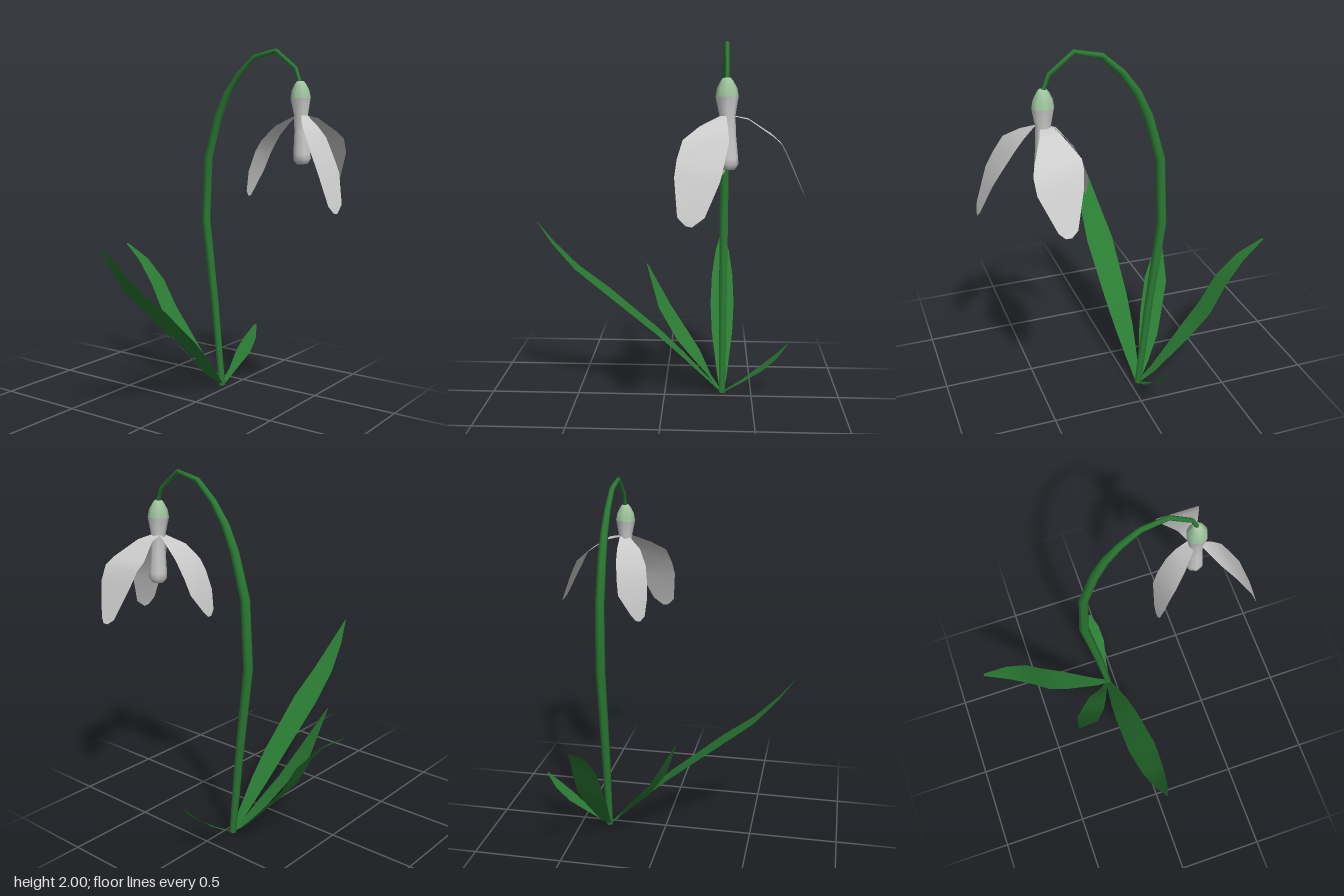
import * as THREE from 'three';

const green = new THREE.MeshStandardMaterial({ color: 0x2a7a33, side: THREE.DoubleSide });
const pale = new THREE.MeshStandardMaterial({ color: 0x9fc49f });
const grey = new THREE.MeshStandardMaterial({ color: 0xcccccc, side: THREE.DoubleSide });

const Z = -0.333; // plane of the stem
const X = -0.045; // foot of the plant

// Thin strip; each row holds its two edge points [ax, ay, az, bx, by, bz]
function blade(name, rows, material) {
  const index = [];
  for (let i = 0; i < rows.length - 1; i++) {
    const a = i * 2;
    index.push(a, a + 1, a + 2, a + 1, a + 3, a + 2);
  }
  const geo = new THREE.BufferGeometry();
  geo.setAttribute('position', new THREE.Float32BufferAttribute(rows.flat(), 3));
  geo.setIndex(index);
  geo.computeVertexNormals();
  const mesh = new THREE.Mesh(geo, material);
  mesh.name = name;
  return mesh;
}

// Six-sided tapering tube through [x, y, radius] in the stem plane
function makeStem(path) {
  const sides = 6, pos = [], index = [];
  path.forEach(([x, y, r], i) => {
    const p = path[Math.max(i - 1, 0)], n = path[Math.min(i + 1, path.length - 1)];
    const t = new THREE.Vector2(n[0] - p[0], n[1] - p[1]).normalize();
    for (let k = 0; k < sides; k++) {
      const a = (k / sides) * Math.PI * 2, c = Math.cos(a) * r;
      pos.push(x + t.y * c, y - t.x * c, Z + Math.sin(a) * r);
      if (i < path.length - 1) {
        const k2 = (k + 1) % sides, b = i * sides;
        index.push(b + k, b + k + sides, b + k2, b + k2, b + k + sides, b + k2 + sides);
      }
    }
  });
  const geo = new THREE.BufferGeometry();
  geo.setAttribute('position', new THREE.Float32BufferAttribute(pos, 3));
  geo.setIndex(index);
  geo.computeVertexNormals();
  const mesh = new THREE.Mesh(geo, green);
  mesh.name = 'stem';
  return mesh;
}

function lathe(name, profile, material) {
  const mesh = new THREE.Mesh(
    new THREE.LatheGeometry(profile.map(([r, y]) => new THREE.Vector2(r, y)), 8), material);
  mesh.name = name;
  return mesh;
}

export function createModel() {
  const model = new THREE.Group();
  model.name = 'droopingFlower';

  model.add(makeStem([
    [X, 0, 0.02], [-0.1, 0.5, 0.025], [-0.167, 1.01, 0.028], [-0.15, 1.38, 0.027],
    [-0.08, 1.62, 0.025], [-0.02, 1.75, 0.022], [0.06, 1.86, 0.018], [0.165, 1.955, 0.015],
    [0.305, 1.987, 0.013], [0.43, 1.89, 0.012], [0.465, 1.8, 0.011],
  ]));

  // Straight leaves: rows of [distance out, height, half width]
  const frontRows = [[0, 0, 0.012], [0.1, 0.1, 0.032], [0.23, 0.23, 0.054], [0.37, 0.36, 0.068],
    [0.66, 0.6, 0.08], [0.84, 0.74, 0.062], [0.97, 0.88, 0.035], [1.06, 1, 0.002]];
  const sideRows = [[0, 0, 0.01], [0.09, 0.07, 0.028], [0.285, 0.28, 0.062], [0.405, 0.42, 0.071],
    [0.495, 0.58, 0.064], [0.61, 0.71, 0.042], [0.745, 0.8, 0.008]];
  const backRows = [[0, 0, 0.01], [0.12, 0.075, 0.025], [0.23, 0.155, 0.05], [0.31, 0.225, 0.042],
    [0.375, 0.3, 0.008]];
  model.add(
    blade('frontLeaf', frontRows.map(([d, y, w]) => [X - w, y, Z + d, X + w, y, Z + d]), green),
    blade('backLeaf', backRows.map(([d, y, w]) => [X + w, y, Z - d, X - w, y, Z - d]), green),
    blade('sideLeaf', sideRows.map(([d, y, w]) => [X - d, y, Z - w, X - d, y, Z + w]), green),
    blade('diagonalLeaf', [
      [-0.055, 0, -0.335, -0.04, 0, -0.325],
      [-0.135, 0.08, -0.265, -0.085, 0.1, -0.24],
      [-0.215, 0.2, -0.2, -0.12, 0.19, -0.15],
      [-0.28, 0.32, -0.11, -0.16, 0.28, -0.065],
      [-0.342, 0.44, -0.02, -0.23, 0.45, 0.045],
      [-0.36, 0.69, 0.12, -0.352, 0.69, 0.125],
    ], green));

  // Hanging bloom: pale ovary above a slim tube
  const bloom = new THREE.Group();
  bloom.name = 'bloom';
  bloom.position.set(0.462, 1.82, -0.33);
  bloom.rotation.set(0.03, 0, 0.03);
  bloom.add(
    lathe('ovary', [[0.057, -0.09], [0.05, -0.05], [0.032, -0.015], [0.02, 0], [0, 0.002]], pale),
    lathe('innerTube', [[0, -0.452], [0.032, -0.45], [0.05, -0.425], [0.049, -0.395], [0.04, -0.27],
      [0.04, -0.18], [0.057, -0.09]], grey));
  model.add(bloom);

  // Three outer petals
  const backPetal = [[-0.36, 1.637, 0.43, 0.49], [-0.44, 1.62, 0.405, 0.515], [-0.56, 1.54, 0.346, 0.575],
    [-0.605, 1.5, 0.35, 0.595], [-0.645, 1.42, 0.365, 0.59], [-0.72, 1.25, 0.42, 0.515],
    [-0.735, 1.225, 0.455, 0.485]];
  model.add(
    blade('backPetal', backPetal.map(([z, y, a, b]) => [b, y, z, a, y, z]), grey),
    blade('leftPetal', [
      [0.49, 1.637, -0.3, 0.51, 1.637, -0.33],
      [0.55, 1.59, -0.2, 0.57, 1.58, -0.338],
      [0.62, 1.53, -0.12, 0.62, 1.52, -0.343],
      [0.67, 1.44, -0.093, 0.68, 1.42, -0.32],
      [0.71, 1.36, -0.083, 0.725, 1.34, -0.3],
      [0.77, 1.18, -0.1, 0.78, 1.18, -0.23],
      [0.782, 1.14, -0.14, 0.786, 1.135, -0.17],
    ], grey),
    blade('rightPetal', [
      [0.43, 1.637, -0.36, 0.45, 1.637, -0.31],
      [0.37, 1.58, -0.363, 0.37, 1.58, -0.225],
      [0.32, 1.52, -0.358, 0.31, 1.5, -0.18],
      [0.27, 1.42, -0.345, 0.28, 1.44, -0.168],
      [0.24, 1.33, -0.33, 0.245, 1.33, -0.158],
      [0.222, 1.22, -0.25, 0.225, 1.22, -0.17],
      [0.22, 1.19, -0.22, 0.22, 1.19, -0.195],
    ], grey));

  return model;
}
